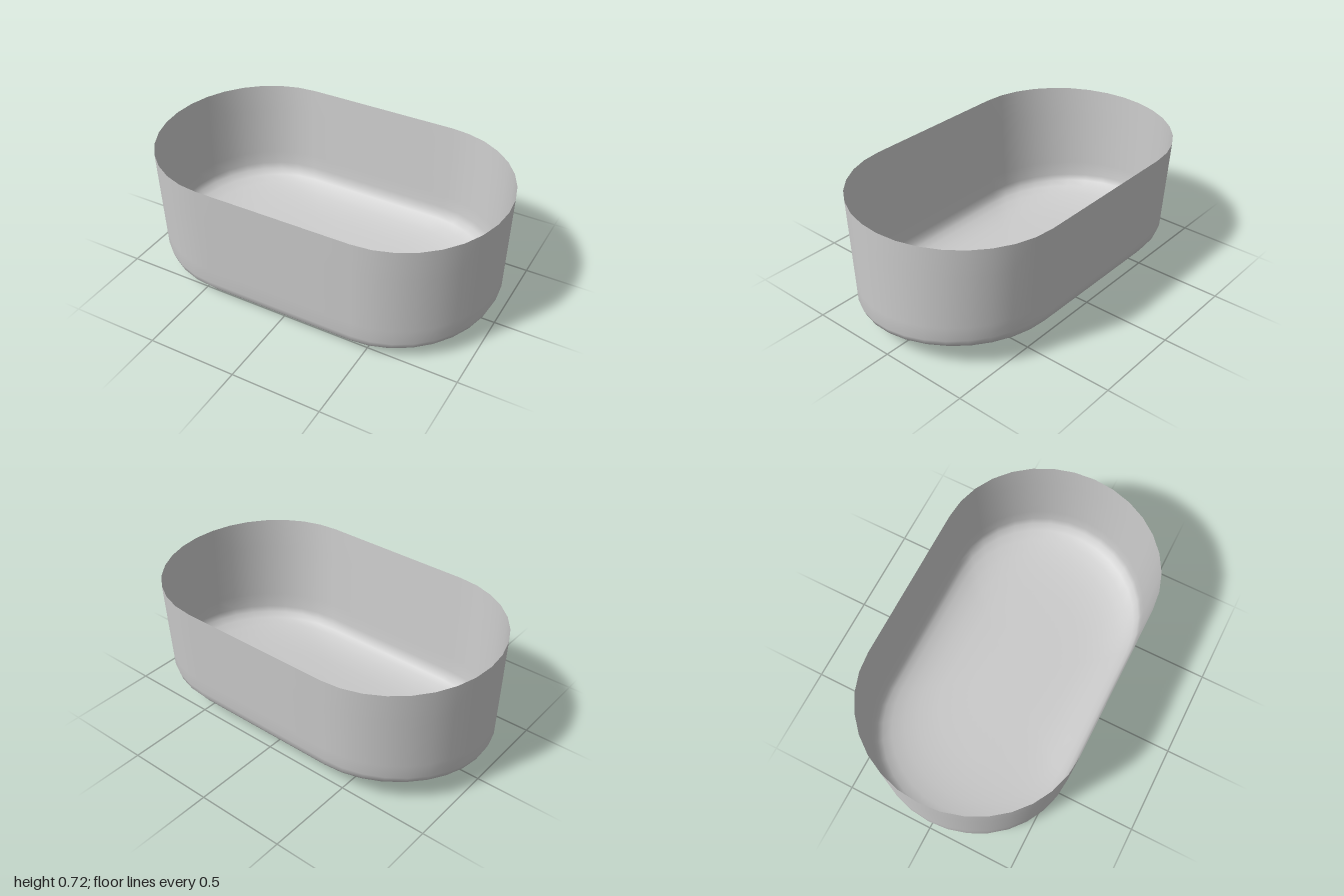
import * as THREE from 'three';

// Oval outline: straight long sides joined by half-ellipse ends.
function outline() {
  const pts = [], straight = 0.44, a = 0.56, b = 0.6, seg = 16, mid = 4;
  for (const side of [1, -1]) {
    for (let i = 0; i <= seg; i++) {
      const t = -Math.PI / 2 + (Math.PI * i) / seg;
      pts.push([side * (straight + a * Math.cos(t)), side * b * Math.sin(t)]);
    }
    for (let i = 1; i < mid; i++) {
      pts.push([side * straight * (1 - (2 * i) / mid), side * b]);
    }
  }
  return pts;
}

// Open shell lofted from outline rings: sloping floor, rounded edge, flared wall.
function tubGeometry() {
  const ring = outline(), n = ring.length;
  const floorY = (z) => 0.026 - 0.085 * z;
  const rimY = (z) => 0.721 - 0.004 * z;
  // floor and edge rings: [scale, lift above the sloping floor plane]
  const floor = [[0.3, 0], [0.55, 0.002], [0.7, 0.013], [0.8, 0.026],
    [0.89, 0.045], [0.95, 0.068], [0.985, 0.095], [1, 0.13]];
  const pos = [0, floorY(0), 0], index = [];

  for (const [s, lift] of floor) {
    for (const [x, z] of ring) {
      const zz = z * s * 0.945;
      pos.push(x * s * 0.99, floorY(zz) + lift, zz);
    }
  }
  // wall rings
  for (const t of [0.15, 0.4, 0.7, 1]) {
    for (const [x, z] of ring) {
      const zz = z * THREE.MathUtils.lerp(0.945, 1, t);
      const low = floorY(z * 0.945) + 0.13;
      pos.push(x * THREE.MathUtils.lerp(0.99, 1, t), THREE.MathUtils.lerp(low, rimY(z), t), zz);
    }
  }

  const rings = floor.length + 4;
  for (let i = 0; i < n; i++) {
    const j = (i + 1) % n;
    index.push(0, 1 + i, 1 + j);
    for (let r = 0; r < rings - 1; r++) {
      const a = 1 + r * n + i, b = 1 + r * n + j;
      index.push(a, a + n, b, b, a + n, b + n);
    }
  }
  const g = new THREE.BufferGeometry();
  g.setAttribute('position', new THREE.Float32BufferAttribute(pos, 3));
  g.setIndex(index);
  g.computeVertexNormals();
  return g;
}

export function createModel() {
  const model = new THREE.Group();
  model.name = 'openTub';
  const shell = new THREE.Mesh(
    tubGeometry(),
    new THREE.MeshStandardMaterial({ color: 0xcccccc, side: THREE.DoubleSide })
  );
  shell.name = 'tubShell';
  model.add(shell);
  return model;
}
